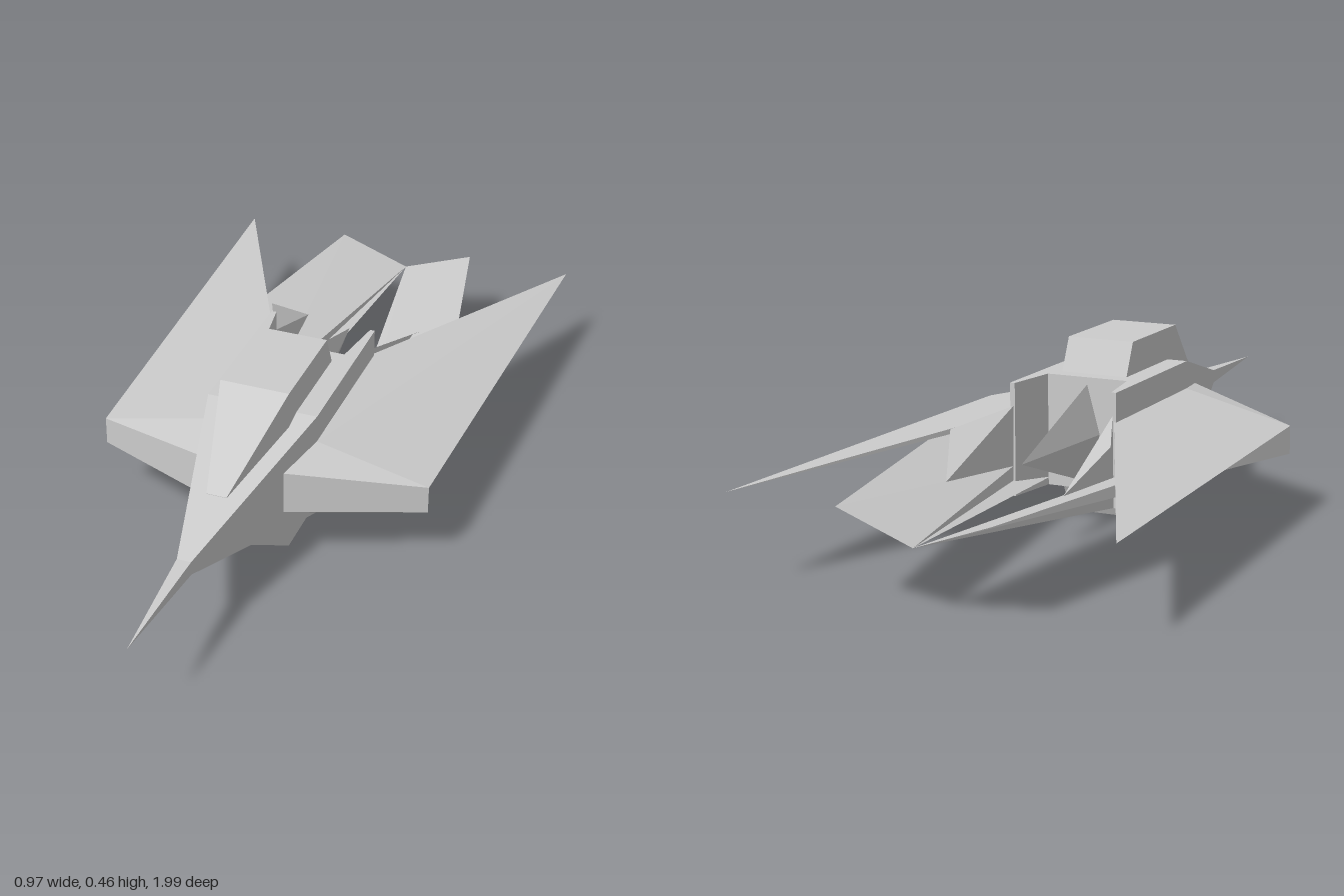
import * as THREE from 'three';
import { ConvexGeometry } from 'three/addons/geometries/ConvexGeometry.js';

const MID = 0.233; // height of the plane the hull is mirrored about

const material = new THREE.MeshStandardMaterial({
  color: 0xcccccc, flatShading: true, side: THREE.DoubleSide,
});

function add(group, name, geometry) {
  const mesh = new THREE.Mesh(geometry, material);
  mesh.name = name;
  group.add(mesh);
}

// Flat faces from named corners; side = -1 mirrors them across x = 0
function faceted(points, faces, side) {
  const pos = [];
  for (const face of faces) {
    const ring = face.split(' ').map((k) => points[k]);
    if (side < 0) ring.reverse();
    for (let i = 1; i < ring.length - 1; i++) {
      for (const p of [ring[0], ring[i], ring[i + 1]]) pos.push(p[0] * side, p[1], p[2]);
    }
  }
  const g = new THREE.BufferGeometry();
  g.setAttribute('position', new THREE.Float32BufferAttribute(pos, 3));
  g.computeVertexNormals();
  return g;
}

// Convex solid from rows of [z, halfWidth, yLow, yHigh]
function hull(sections) {
  const pts = [];
  for (const [z, w, y0, y1] of sections) {
    for (const x of [-w, w]) {
      for (const y of [y0, y1]) pts.push(new THREE.Vector3(x, y, z));
    }
  }
  return new ConvexGeometry(pts);
}

// Square-section taper between z0 and z1
function taper(z0, h0, z1, h1) {
  const g = new THREE.CylinderGeometry(h1 * Math.SQRT2, h0 * Math.SQRT2, z1 - z0, 4, 1);
  g.rotateY(Math.PI / 4);
  g.rotateX(Math.PI / 2);
  g.translate(0, MID, (z0 + z1) / 2);
  return g;
}

export function createModel() {
  const model = new THREE.Group();
  model.name = 'spacecraft';

  // Fuselage: block with a notched stern, then a two-stage square nose
  const plan = new THREE.Shape([
    [-0.145, 0.17], [-0.145, -0.27], [-0.132, -0.27], [-0.11, -0.13],
    [0.11, -0.13], [0.132, -0.27], [0.145, -0.27], [0.145, 0.17],
  ].map(([x, z]) => new THREE.Vector2(x, z)));
  const block = new THREE.ExtrudeGeometry(plan, { depth: 0.29, bevelEnabled: false });
  block.rotateX(Math.PI / 2);           // plan lies flat, depth runs down
  block.translate(0, MID + 0.145, 0);
  add(model, 'fuselage', block);
  add(model, 'forwardHull', taper(0.17, 0.145, 0.67, 0.018));
  add(model, 'noseSpike', taper(0.67, 0.018, 0.99, 0));

  // Stern spike: tall diamond pyramid inside the notch
  const spike = new THREE.ConeGeometry(1, 0.37, 4);
  spike.rotateX(-Math.PI / 2);
  spike.scale(0.036, 0.13, 1);
  spike.translate(0, MID, -0.305);
  add(model, 'sternSpike', spike);

  // Cabin above and matching pod below
  for (const [name, s] of [['cabin', 1], ['bellyPod', -1]]) {
    const y = (v) => MID + s * (v - MID);
    add(model, name, hull([
      [0.47, 0.026, y(0.29), y(0.303)],
      [0.22, 0.09, y(0.3), y(0.462)],
      [-0.05, 0.09, y(0.3), y(0.462)],
      [-0.09, 0.09, y(0.3), y(0.375)],
    ]));
    const mount = new THREE.BoxGeometry(0.06, 0.08, 0.05);
    mount.translate(0, y(0.33), -0.105);
    add(model, name + 'RearMount', mount);
  }

  // Wing corners, left side
  const P = {
    a: [0.11, 0.29, 0.31], b: [0.11, 0.175, 0.31], c: [0.11, 0.12, 0.31],   // root front
    T: [0.145, 0.305, 0.17], A: [0.145, 0.088, 0.17],                       // root shoulder
    U: [0.437, 0.234, 0.165], L: [0.437, 0.16, 0.165],                      // outer front edge
    tip: [0.485, 0.234, -1],
    R: [0.14, 0.305, -0.27], S: [0.14, 0.288, -0.27],                       // blade root, rear
    V: [0.138, 0.165, -0.27], E: [0.138, 0.088, -0.27],                     // keel root, rear
    C: [0.195, 0.234, -1], D: [0, 0.163, -1],                               // tail end
    f: [0.136, 0.32, -0.27], g: [0.155, 0.195, -0.58], h: [0.215, 0.29, -0.45], // root web
  };
  for (const [side, label] of [[1, 'left'], [-1, 'right']]) {
    const wing = new THREE.Group();
    wing.name = label + 'Wing';
    // Upper blade sweeping back to a point
    add(wing, 'upperBlade', faceted(P, ['a U T', 'T U tip R', 'U S tip', 'R tip S'], side));
    // Blunt leading edge with a chamfer beneath
    add(wing, 'leadingEdge', faceted(P, ['b L U a', 'b A L', 'b c A'], side));
    // Thin keel converging on the centre line at the rear
    add(wing, 'keel', faceted(P, ['A D L', 'A E D', 'U L D', 'U D C'], side));
    add(wing, 'tailDeck', faceted(P, ['U C V', 'V C D', 'V D E'], side));
    // Web joining the blade to the tail deck
    add(wing, 'rootWeb', faceted(P, ['f h g', 'f g V'], side));
    model.add(wing);
  }
  return model;
}
